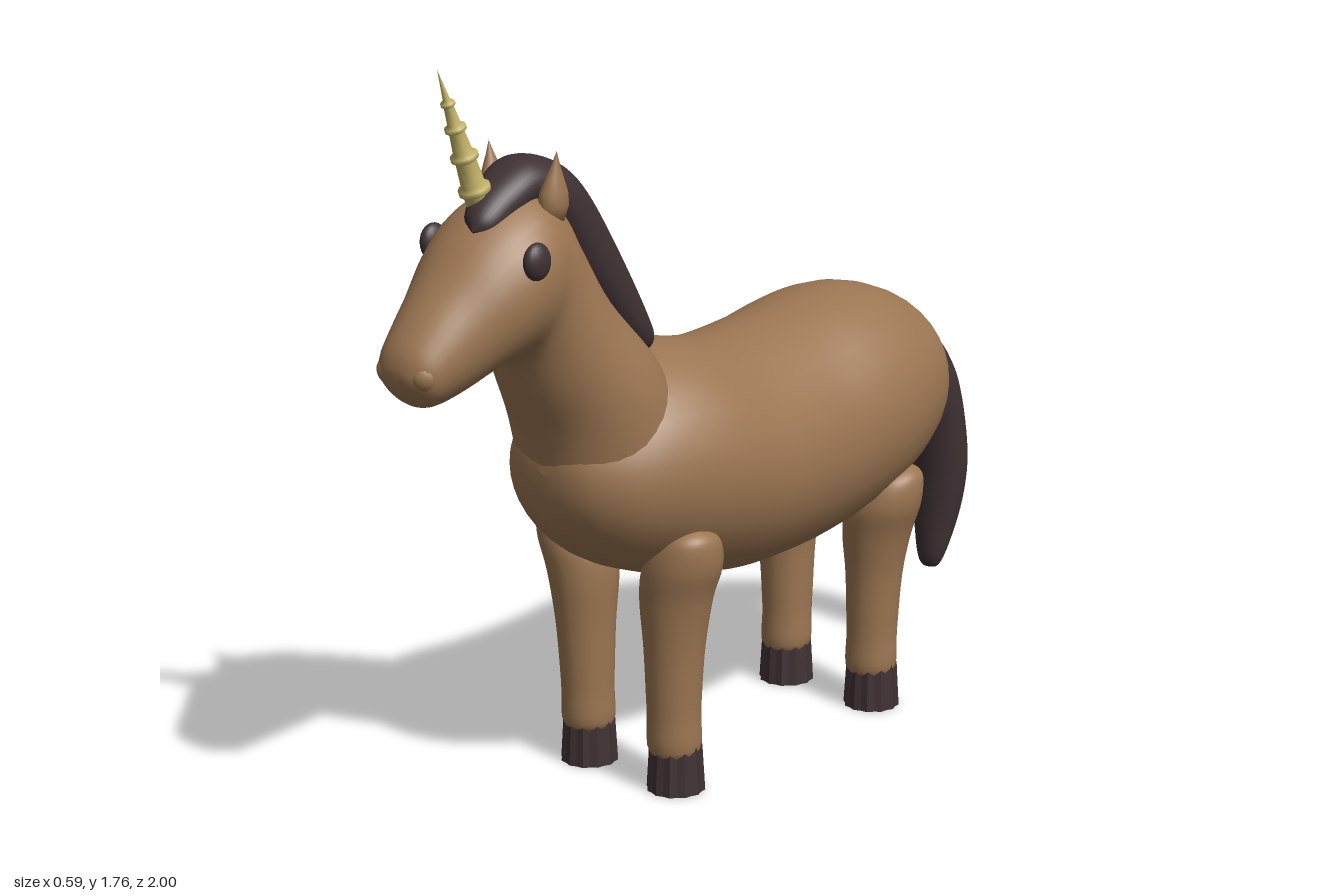
import * as THREE from 'three';

const paint = (name, color) => Object.assign(new THREE.MeshStandardMaterial({ color }), { name });

// Smooth skin through oval sections [z1, y1, z2, y2, halfWidth, centreX]:
// points 1 and 2 are the two ends of each oval in the side plane.
function loft(sections, steps = 5, sides = 32) {
  const curve = (f) => new THREE.CatmullRomCurve3(sections.map(f), false, 'catmullrom', 0.5);
  const edgeA = curve((s) => new THREE.Vector3(s[4], s[1], s[0]));
  const edgeB = curve((s) => new THREE.Vector3(s[5] || 0, s[3], s[2]));
  const rows = (sections.length - 1) * steps;
  const pos = [], index = [];
  for (let i = 0; i <= rows; i++) {
    const a = edgeA.getPoint(i / rows), b = edgeB.getPoint(i / rows);
    const w = Math.max(a.x, 0);
    for (let j = 0; j < sides; j++) {
      const t = (j / sides) * Math.PI * 2, c = Math.cos(t), s = Math.sin(t);
      pos.push(b.x + w * c, (a.y + b.y) / 2 + s * (a.y - b.y) / 2, (a.z + b.z) / 2 + s * (a.z - b.z) / 2);
      if (i < rows) {
        const k = (j + 1) % sides, p = i * sides, q = p + sides;
        index.push(p + j, p + k, q + k, p + j, q + k, q + j);
      }
    }
  }
  const g = new THREE.BufferGeometry();
  g.setAttribute('position', new THREE.Float32BufferAttribute(pos, 3));
  g.setIndex(index);
  g.computeVertexNormals();
  return g;
}

// Short cylinder with grooves down its wall
function hoofGeometry() {
  const g = new THREE.CylinderGeometry(0.064, 0.071, 0.115, 24);
  const p = g.attributes.position;
  for (let i = 0; i < p.count; i++) {
    const r = Math.hypot(p.getX(i), p.getZ(i));
    if (r < 0.01) continue;
    const k = Math.round((Math.atan2(p.getX(i), p.getZ(i)) / (Math.PI * 2)) * 24);
    const f = k % 2 === 0 ? 1 : 0.93;
    p.setX(i, p.getX(i) * f);
    p.setZ(i, p.getZ(i) * f);
  }
  const flat = g.toNonIndexed();
  flat.computeVertexNormals();
  return flat;
}

const lathe = (pts, sides) => new THREE.LatheGeometry(pts.map(([r, y]) => new THREE.Vector2(r, y)), sides);

export function createModel() {
  const model = new THREE.Group();
  const coat = paint('coat brown', 0x9c7652);
  const dark = paint('dark hair', 0x3f3134);
  const gold = paint('horn gold', 0xc8b76a);
  const add = (name, geometry, material, x = 0, y = 0, z = 0) => {
    const m = new THREE.Mesh(geometry, material);
    m.name = name;
    m.position.set(x, y, z);
    model.add(m);
    return m;
  };

  // Barrel of the body, from rump to chest
  const barrel = [
    [-0.78, 0.83, 0.83, 0], [-0.768, 0.91, 0.745, 0.1], [-0.725, 0.98, 0.665, 0.175],
    [-0.65, 1.035, 0.59, 0.232], [-0.52, 1.075, 0.525, 0.278], [-0.38, 1.075, 0.485, 0.293],
    [-0.2, 1.045, 0.455, 0.287], [0, 1.03, 0.455, 0.292], [0.2, 1.06, 0.49, 0.283],
    [0.35, 1.04, 0.54, 0.25], [0.45, 0.98, 0.595, 0.205], [0.52, 0.92, 0.67, 0.14],
    [0.55, 0.87, 0.74, 0.075], [0.558, 0.81, 0.81, 0],
  ];
  add('body', loft(barrel.map(([z, top, bottom, w]) => [z, top, z, bottom, w])), coat);

  // Neck and head in one sweep, ending at the nose
  add('neckAndHead', loft([
    [0.22, 1.0, 0.545, 0.78, 0.2], [0.29, 1.09, 0.575, 0.9, 0.192], [0.41, 1.22, 0.62, 1.0, 0.167],
    [0.49, 1.35, 0.65, 1.07, 0.152], [0.55, 1.445, 0.67, 1.095, 0.152], [0.63, 1.485, 0.69, 1.105, 0.165],
    [0.72, 1.46, 0.735, 1.1, 0.168], [0.8, 1.405, 0.79, 1.08, 0.147], [0.88, 1.315, 0.84, 1.06, 0.12],
    [0.945, 1.24, 0.9, 1.045, 0.1], [0.985, 1.185, 0.945, 1.048, 0.082], [0.998, 1.145, 0.985, 1.085, 0.045],
    [0.998, 1.115, 0.998, 1.115, 0],
  ]), coat);

  // Mane along the crest, falling to one side of the forehead
  add('mane', loft([
    [0.23, 1.06, 0.23, 1.06, 0], [0.222, 1.085, 0.28, 1.04, 0.055], [0.255, 1.15, 0.34, 1.08, 0.082],
    [0.35, 1.32, 0.46, 1.23, 0.085], [0.44, 1.455, 0.55, 1.36, 0.085], [0.52, 1.525, 0.6, 1.42, 0.084],
    [0.62, 1.55, 0.64, 1.43, 0.08], [0.71, 1.51, 0.68, 1.41, 0.066, 0.01],
    [0.775, 1.455, 0.745, 1.38, 0.044, 0.022], [0.795, 1.41, 0.795, 1.41, 0, 0.035],
  ]), dark);

  // Tail, from the rump down to the tip
  add('tail', loft([
    [-0.74, 0.82, -0.74, 0.82, 0], [-0.755, 0.74, -0.765, 0.922, 0.075], [-0.8, 0.68, -0.85, 0.895, 0.085],
    [-0.835, 0.6, -0.93, 0.8, 0.087], [-0.857, 0.5, -0.975, 0.67, 0.085], [-0.865, 0.41, -1.0, 0.54, 0.078],
    [-0.868, 0.34, -0.99, 0.41, 0.062], [-0.872, 0.27, -0.945, 0.285, 0.042],
    [-0.885, 0.235, -0.915, 0.24, 0.026], [-0.9, 0.23, -0.9, 0.23, 0],
  ]), dark);

  // Four legs: [y, centre x, z offset, half width, half depth]
  const leg = [
    [0.09, 0.14, 0, 0, 0], [0.095, 0.14, 0, 0.06, 0.06], [0.2, 0.14, 0.002, 0.064, 0.065],
    [0.35, 0.143, 0.003, 0.071, 0.074], [0.48, 0.15, 0.003, 0.086, 0.088], [0.56, 0.17, 0.003, 0.093, 0.094],
    [0.62, 0.195, 0.008, 0.072, 0.078], [0.65, 0.208, 0.014, 0.045, 0.05], [0.668, 0.214, 0.018, 0, 0],
  ];
  const hoof = hoofGeometry();
  for (const side of [1, -1]) {
    const label = side > 0 ? 'left' : 'right';
    for (const [end, z0, lean, drop] of [['Front', 0.27, 1, 0], ['Hind', -0.473, -1.5, 0.02]]) {
      add(label + end + 'Leg', loft(leg.map(([y, x, dz, w, d]) => {
        const z = z0 + dz * lean, h = y > 0.4 ? y - drop : y;
        return [z - d, h, z + d, h, w, side * x];
      }), 5, 24), coat);
      add(label + end + 'Hoof', hoof, dark, side * 0.141, 0.0575, z0 - 0.003);
    }

    // Ear, eye and nostril
    const ear = add(label + 'Ear', lathe([[0, 0], [0.03, 0.005], [0.039, 0.04], [0.034, 0.07],
      [0.022, 0.1], [0.01, 0.13], [0, 0.16]], 20), coat, side * 0.087, 1.41, 0.604);
    ear.rotation.z = -side * 0.11;
    ear.scale.x = 0.8;
    add(label + 'Eye', new THREE.SphereGeometry(1, 20, 14), dark, side * 0.16, 1.352, 0.725).scale.set(0.022, 0.042, 0.037);
    add(label + 'Nostril', new THREE.SphereGeometry(0.036, 16, 12), coat, side * 0.05, 1.125, 0.955);
  }

  // Ringed horn leaning forward
  const horn = add('horn', lathe([[0, 0], [0.028, 0], [0.028, 0.035], [0.036, 0.04], [0.036, 0.052],
    [0.027, 0.058], [0.023, 0.115], [0.031, 0.121], [0.031, 0.131], [0.022, 0.137], [0.017, 0.185],
    [0.024, 0.19], [0.024, 0.199], [0.015, 0.205], [0.011, 0.245], [0.016, 0.25], [0.016, 0.257],
    [0.008, 0.263], [0, 0.335]], 16), gold, 0, 1.45, 0.735);
  horn.rotation.x = 0.36;

  return model;
}
